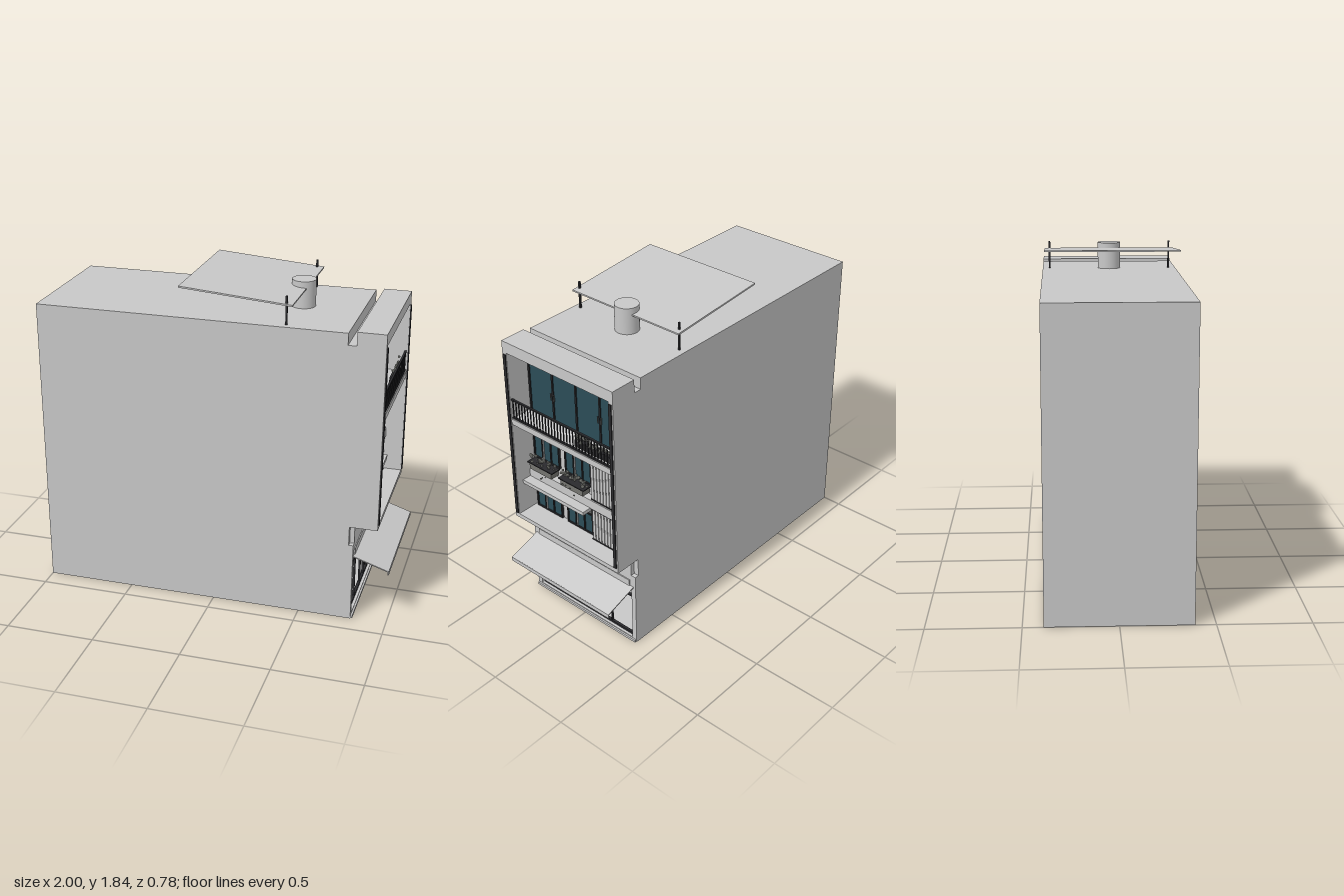
import * as THREE from 'three';

const mat = (name, color) => {
  const m = new THREE.MeshStandardMaterial({ color });
  m.name = name;
  return m;
};

export function createModel() {
  const wall = mat('wall grey', 0xc8c8c8);
  const dark = mat('dark metal', 0x2a2a2d);
  const glass = mat('teal glass', 0x2b4c57);
  const transomGrey = mat('transom grey', 0x5c605f);
  const planterGrey = mat('planter grey', 0x74746f);
  const leaf = mat('pale foliage', 0x9a9c94);

  const model = new THREE.Group();
  model.name = 'townhouse';

  const add = (parent, name, geo, material) => {
    const mesh = new THREE.Mesh(geo, material);
    mesh.name = name;
    parent.add(mesh);
    return mesh;
  };
  // Box given by its limits on each axis
  const box = (parent, name, material, x0, x1, y0, y1, z0, z1) => {
    const mesh = add(parent, name, new THREE.BoxGeometry(x1 - x0, y1 - y0, Math.abs(z1 - z0)), material);
    mesh.position.set((x0 + x1) / 2, (y0 + y1) / 2, (z0 + z1) / 2);
    return mesh;
  };
  const group = (name) => {
    const g = new THREE.Group();
    g.name = name;
    model.add(g);
    return g;
  };
  // Side profile extruded across the width
  const slice = (name, points, z0, z1) => {
    const shape = new THREE.Shape(points.map(([x, y]) => new THREE.Vector2(x, y)));
    const geo = new THREE.ExtrudeGeometry(shape, { depth: z1 - z0, bevelEnabled: false });
    add(model, name, geo, wall).position.z = z0;
  };
  let seed = 7;
  const rand = () => (seed = (seed * 16807) % 2147483647) / 2147483647;

  // Building: core with shop room and balcony recess, closed by two side walls
  const roofLine = [[0.93, 1.685], [0.775, 1.685], [0.775, 1.61], [0.73, 1.61], [0.73, 1.675], [-1, 1.675]];
  slice('core', [[-1, 0], [0.8, 0], [0.8, 0.02], [0.2, 0.02], [0.2, 0.385], [0.8, 0.385], [0.8, 0.57],
    [0.93, 0.57], [0.93, 0.595], [0.79, 0.595], [0.79, 1.62], [0.93, 1.62], ...roofLine], -0.36, 0.36);
  const side = [[-1, 0], [0.8, 0], [0.8, 0.46], [0.775, 0.46], [0.775, 0.57], [0.93, 0.57], ...roofLine];
  slice('sideWallLeft', side, 0.36, 0.39);
  slice('sideWallRight', side, -0.39, -0.36);
  box(model, 'doorStep', wall, 0.8, 0.81, 0, 0.015, -0.385, 0.385);
  box(model, 'signPanel', wall, 0.8, 0.806, 0.387, 0.425, -0.35, 0.35);
  for (const s of [-1, 1]) {
    box(model, 'edgeStrip', dark, 0.93, 0.936, 0.6, 1.61, s * 0.364, s * 0.382);
  }

  // Shop front
  const shop = group('shopFront');
  for (const z of [0.35, 0.187, 0.02, -0.083, -0.185, -0.35]) {
    box(shop, 'mullion', dark, 0.77, 0.782, 0.02, 0.385, z - 0.004, z + 0.004);
  }
  box(shop, 'sill', dark, 0.768, 0.784, 0.02, 0.032, -0.355, 0.355);
  box(shop, 'transomBar', dark, 0.768, 0.784, 0.292, 0.302, -0.355, 0.355);
  for (const z of [-0.071, -0.095]) {
    box(shop, 'doorHandle', dark, 0.785, 0.79, 0.09, 0.17, z - 0.0025, z + 0.0025);
  }

  // Sloping street awning with a hanging lip
  const awning = group('awning');
  const slope = add(awning, 'awningSheet', new THREE.BoxGeometry(0.208, 0.006, 0.75), wall);
  slope.position.set(0.898, 0.352, 0);
  slope.rotation.z = -Math.atan2(0.065, 0.2);
  box(awning, 'awningLip', wall, 0.994, 1, 0.298, 0.322, -0.375, 0.375);

  // Two window floors: windows, ledges and slatted screens
  const windowUnit = (zc, y0, y1) => {
    const g = group('window');
    const a = zc - 0.094, b = zc + 0.094, bar = y1 - 0.045;
    box(g, 'windowGlass', glass, 0.79, 0.796, y0, bar, a, b);
    box(g, 'windowTransom', transomGrey, 0.79, 0.796, bar, y1, a, b);
    for (const z of [a, zc - 0.032, zc + 0.032, b]) {
      box(g, 'windowPost', dark, 0.79, 0.803, y0, y1, z - 0.004, z + 0.004);
    }
    box(g, 'windowJamb', wall, 0.796, 0.801, y0, bar - 0.01, zc + 0.021, zc + 0.026);
    for (const y of [y0 + 0.004, bar, y1 - 0.003]) {
      box(g, 'windowRail', dark, 0.79, 0.803, y - 0.004, y + 0.004, a, b);
    }
  };
  const foliage = (parent, count, x, y, h, z0, z1, r) => {
    for (let i = 0; i < count; i++) {
      const tuft = add(parent, 'foliage', new THREE.IcosahedronGeometry(r * (0.5 + rand() * 0.7), 0), leaf);
      tuft.position.set(x + (rand() - 0.5) * 0.035, y + rand() * h, z0 + rand() * (z1 - z0));
      tuft.rotation.set(rand() * 3, rand() * 3, 0);
    }
  };
  const screen = (y0, y1) => {
    const g = group('slattedScreen');
    box(g, 'screenBacking', dark, 0.79, 0.798, y0, y1, -0.35, -0.108);
    const n = 11, step = 0.242 / n;
    for (let i = 0; i < n; i++) {
      const z = -0.35 + (i + 0.5) * step;
      box(g, 'slat', wall, 0.8, 0.825, y0 + 0.006, y1 - 0.006, z - 0.0088, z + 0.0088);
    }
    for (const y of [y0, y1 - 0.006]) box(g, 'screenRail', dark, 0.79, 0.828, y, y + 0.006, -0.352, -0.106);
  };
  for (const zc of [0.247, 0.01]) {
    windowUnit(zc, 0.595, 0.77);
    windowUnit(zc, 0.925, 1.14);
    const g = group('planter');
    box(g, 'planterBox', planterGrey, 0.8, 0.855, 0.877, 0.915, zc - 0.083, zc + 0.083);
    box(g, 'planterRail', dark, 0.796, 0.86, 0.915, 0.921, zc - 0.094, zc + 0.094);
    foliage(g, 34, 0.83, 0.92, 0.04, zc - 0.09, zc + 0.09, 0.009);
    foliage(g, 5, 0.855, 0.85, 0.06, zc - 0.03, zc + 0.06, 0.006);
  }
  screen(0.595, 0.8);
  screen(0.86, 1.172);
  for (const y of [0.78, 1.152]) box(model, 'windowLedge', wall, 0.79, 0.885, y, y + 0.022, -0.1, 0.36);
  box(model, 'floorBand', wall, 0.79, 0.83, 0.802, 0.855, -0.36, 0.36);

  // Top balcony
  const balcony = group('balcony');
  box(balcony, 'balconySlab', wall, 0.79, 0.928, 1.185, 1.22, -0.36, 0.36);
  box(balcony, 'slidingGlass', glass, 0.79, 0.796, 1.22, 1.535, -0.345, 0.345);
  for (const z of [-0.343, -0.17, 0, 0.17, 0.343]) {
    box(balcony, 'glassPost', dark, 0.79, 0.803, 1.22, 1.535, z - 0.005, z + 0.005);
  }
  box(balcony, 'glassHead', dark, 0.79, 0.803, 1.53, 1.538, -0.348, 0.348);
  for (const z of [-0.182, -0.158, 0.158, 0.182]) {
    box(balcony, 'glassHandle', transomGrey, 0.8, 0.806, 1.35, 1.39, z - 0.002, z + 0.002);
  }
  for (const y of [1.222, 1.333]) box(balcony, 'handRail', dark, 0.912, 0.924, y, y + 0.008, -0.36, 0.36);
  for (let i = 0; i <= 32; i++) {
    const z = -0.352 + i * 0.022;
    box(balcony, 'baluster', dark, 0.916, 0.921, 1.22, 1.335, z - 0.0025, z + 0.0025);
  }
  box(balcony, 'balconyPlanter', dark, 0.875, 0.91, 1.235, 1.272, -0.34, -0.09);
  foliage(balcony, 45, 0.9, 1.27, 0.05, -0.335, -0.09, 0.009);

  // Roof: water tank and tilted canopy on two posts
  const tank = add(model, 'waterTank', new THREE.CylinderGeometry(0.066, 0.066, 0.15, 40), wall);
  tank.position.set(0.403, 1.75, 0);
  const canopy = add(model, 'roofCanopy', new THREE.BoxGeometry(0.62, 0.009, 0.745), wall);
  canopy.position.set(0.12, 1.81, -0.003);
  canopy.rotation.z = -Math.atan2(0.05, 0.615);
  for (const z of [-0.35, 0.35]) {
    box(model, 'canopyPost', dark, 0.389, 0.399, 1.675, 1.832, z - 0.005, z + 0.005);
  }
  return model;
}
